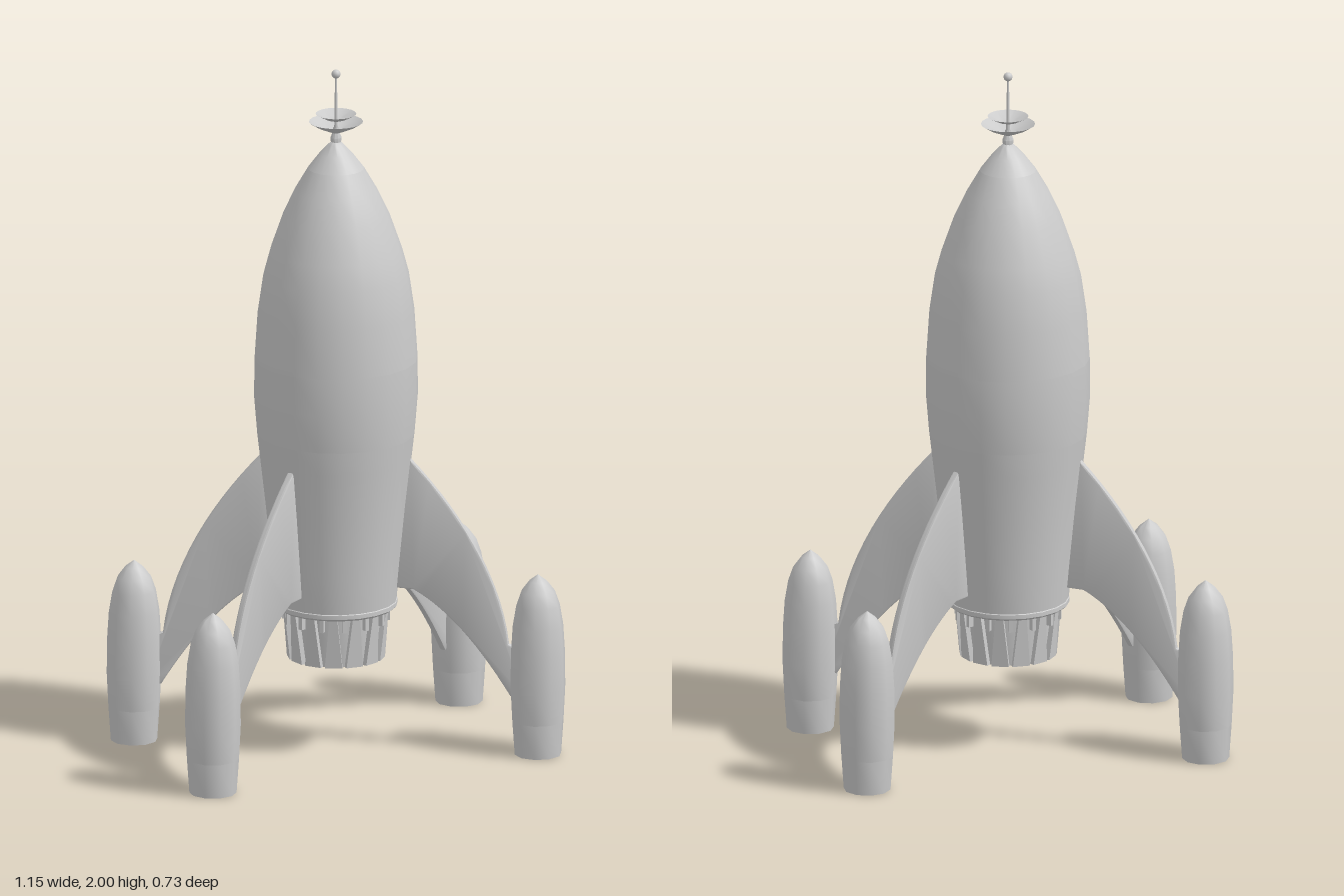
import * as THREE from 'three';
import { toCreasedNormals } from 'three/addons/utils/BufferGeometryUtils.js';

const material = new THREE.MeshStandardMaterial({ color: 0xcccccc });
const openMaterial = new THREE.MeshStandardMaterial({ color: 0xcccccc, side: THREE.DoubleSide });

function add(parent, name, geometry, mat = material) {
  const mesh = new THREE.Mesh(geometry, mat);
  mesh.name = name;
  parent.add(mesh);
  return mesh;
}

// Turned part from [radius, height] pairs, listed from bottom to top
function turned(parent, name, points, sides = 20, mat = material) {
  const profile = points.map(([r, y]) => new THREE.Vector2(r, y));
  return add(parent, name, toCreasedNormals(new THREE.LatheGeometry(profile, sides), 0.75), mat);
}

// Curved swept-back fin, lying in the radial plane
function finGeometry() {
  const shape = new THREE.Shape();
  shape.moveTo(0.16, 0.48);
  shape.lineTo(0.222, 0.476);
  shape.quadraticCurveTo(0.36, 0.40, 0.5, 0.17);
  shape.lineTo(0.54, 0.17);
  shape.lineTo(0.54, 0.3);
  shape.lineTo(0.492, 0.32);
  shape.bezierCurveTo(0.47, 0.52, 0.35, 0.71, 0.214, 0.855);
  shape.lineTo(0.19, 0.8);
  const geometry = new THREE.ExtrudeGeometry(shape, {
    depth: 0.01, curveSegments: 14, bevelEnabled: true,
    bevelThickness: 0.006, bevelSize: 0.006, bevelOffset: -0.004, bevelSegments: 2,
  });
  geometry.translate(0, 0, -0.005);
  return toCreasedNormals(geometry, 0.7);
}

// Box whose lower end is wider than its upper end
function petalGeometry() {
  const geometry = new THREE.BoxGeometry(1, 0.15, 0.016);
  const p = geometry.attributes.position;
  for (let i = 0; i < p.count; i++) {
    const low = p.getY(i) < 0;
    p.setX(i, p.getX(i) * (low ? 0.05 : 0.022));
    if (!low) p.setZ(i, p.getZ(i) + 0.014);
  }
  geometry.computeVertexNormals();
  return geometry;
}

export function createModel() {
  const rocket = new THREE.Group();
  rocket.name = 'rocket';

  // Hull in four sections
  turned(rocket, 'lowerHull', [[0, 0.43], [0.172, 0.43], [0.183, 0.55], [0.2, 0.72], [0.216, 0.86], [0.224, 0.93]]);
  turned(rocket, 'middleBand', [[0.224, 0.93], [0.233, 1.04], [0.232, 1.15]]);
  turned(rocket, 'upperHull', [[0.232, 1.15], [0.223, 1.29], [0.207, 1.4], [0.188, 1.47], [0.153, 1.57], [0.118, 1.645], [0.08, 1.71]]);
  turned(rocket, 'noseCap', [[0.08, 1.71], [0.048, 1.752], [0.022, 1.78], [0.012, 1.79], [0, 1.792]]);

  // Engine: collar, open bell, petals and small struts
  const engine = new THREE.Group();
  engine.name = 'engine';
  rocket.add(engine);
  turned(engine, 'engineCollar', [[0, 0.418], [0.168, 0.418], [0.175, 0.424], [0.175, 0.436], [0.17, 0.44]]);
  turned(engine, 'engineBell', [[0.122, 0.43], [0.116, 0.27], [0.126, 0.27], [0.138, 0.43]], 24, openMaterial);
  const petal = petalGeometry();
  const count = 14;
  for (let i = 0; i < count; i++) {
    const spoke = new THREE.Group();
    spoke.name = 'enginePetal';
    spoke.rotation.y = (i / count) * Math.PI * 2;
    add(spoke, 'petal', petal).position.set(0, 0.345, 0.129);
    engine.add(spoke);
    const strutSpoke = new THREE.Group();
    strutSpoke.name = 'engineStrut';
    strutSpoke.rotation.y = ((i + 0.5) / count) * Math.PI * 2;
    add(strutSpoke, 'strut', new THREE.BoxGeometry(0.012, 0.045, 0.016)).position.set(0, 0.4, 0.145);
    engine.add(strutSpoke);
  }

  // Four fins, each carrying a landing pod
  const fin = finGeometry();
  const reach = 0.577;
  for (const degrees of [30, 150, 210, 330]) {
    const leg = new THREE.Group();
    leg.name = 'finAndPod';
    leg.rotation.y = THREE.MathUtils.degToRad(degrees);
    rocket.add(leg);
    add(leg, 'fin', fin);
    const pod = new THREE.Group();
    pod.name = 'pod';
    pod.position.x = reach;
    leg.add(pod);
    turned(pod, 'podNozzle', [[0, 0.05], [0.045, 0.05], [0.05, 0], [0.067, 0], [0.074, 0.1]], 10);
    turned(pod, 'podBody', [[0.074, 0.1], [0.079, 0.2], [0.078, 0.3], [0.073, 0.38],
      [0.063, 0.44], [0.049, 0.48], [0.026, 0.51], [0, 0.53]], 10);
  }

  // Antenna with two saucer dishes
  const antenna = new THREE.Group();
  antenna.name = 'antenna';
  rocket.add(antenna);
  turned(antenna, 'antennaBase', [[0.014, 1.78], [0.016, 1.8], [0.01, 1.815], [0.008, 1.83]], 10);
  turned(antenna, 'lowerDish', [[0.008, 1.813], [0.03, 1.822], [0.055, 1.833], [0.077, 1.847]], 20, openMaterial);
  turned(antenna, 'upperDish', [[0.006, 1.847], [0.03, 1.855], [0.058, 1.87]], 20, openMaterial);
  add(antenna, 'antennaRod', new THREE.CylinderGeometry(0.003, 0.006, 0.19, 8)).position.y = 1.89;
  add(antenna, 'antennaBall', new THREE.SphereGeometry(0.013, 12, 8)).position.y = 1.987;

  return rocket;
}
